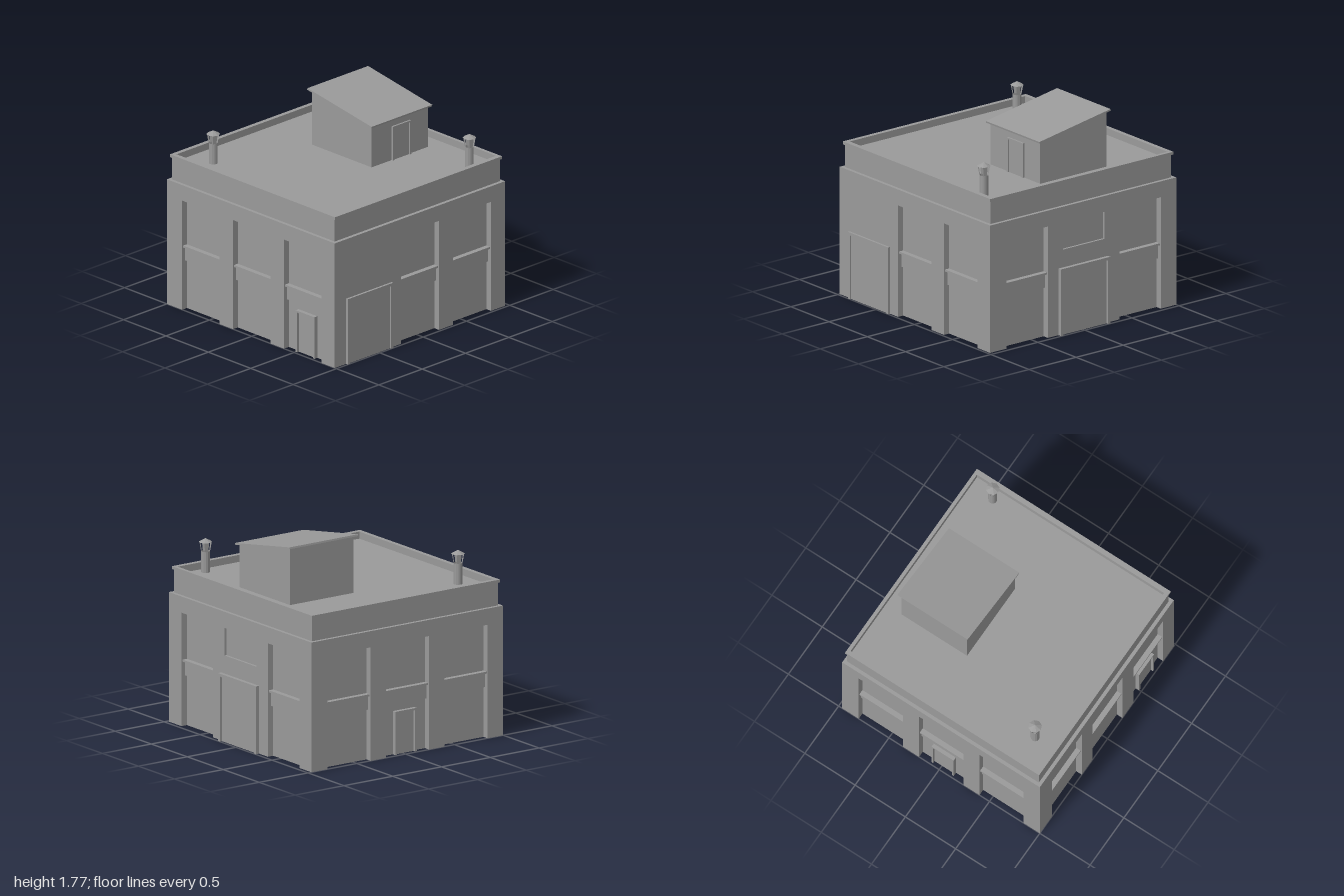
import * as THREE from 'three';

const mat = new THREE.MeshStandardMaterial({ color: 0x9a9a9a, flatShading: true, side: THREE.DoubleSide });

function add(parent, geometry, name, x = 0, y = 0, z = 0) {
  const mesh = new THREE.Mesh(geometry, mat);
  mesh.name = name;
  mesh.position.set(x, y, z);
  parent.add(mesh);
  return mesh;
}

// Box given by its lower and upper limits on each axis
function block(parent, name, x0, x1, y0, y1, z0, z1) {
  return add(parent, new THREE.BoxGeometry(x1 - x0, y1 - y0, z1 - z0), name,
    (x0 + x1) / 2, (y0 + y1) / 2, (z0 + z1) / 2);
}

// Faceted sheet through rows of points, running left to right and bottom to top
function sheet(rows) {
  const pos = [];
  for (let r = 0; r + 1 < rows.length; r++) {
    for (let i = 0; i + 1 < rows[r].length; i++) {
      const a = rows[r][i], b = rows[r][i + 1], c = rows[r + 1][i + 1], d = rows[r + 1][i];
      pos.push(...a, ...b, ...c, ...a, ...c, ...d);
    }
  }
  const g = new THREE.BufferGeometry();
  g.setAttribute('position', new THREE.Float32BufferAttribute(pos, 3));
  g.computeVertexNormals();
  return g;
}

const ring = ([x0, x1, z0, z1, y]) =>
  [[x0, y, z1], [x1, y, z1], [x1, y, z0], [x0, y, z0], [x0, y, z1]];

// Fittings reach slightly through the wall sheet (INSET), so they also show inside
const BAY_TOP = 0.97, HALF = 0.22, DEPTH = 0.055, INSET = 0.004;

// One facade in its own frame: u runs right, +z points outward, wall face at z = 0
function facade(parent, name, u0, u1, bays) {
  const g = new THREE.Group();
  g.name = name;
  parent.add(g);
  const line = [[u0, 0]];
  for (const { u, depth = DEPTH } of bays) {
    line.push([u - HALF, 0], [u - HALF, -depth], [u + HALF, -depth], [u + HALF, 0]);
    add(g, sheet([-depth, 0].map(z => [[u - HALF, BAY_TOP, z], [u + HALF, BAY_TOP, z]])), 'baySoffit');
  }
  line.push([u1, 0]);
  add(g, sheet([0, BAY_TOP].map(y => line.map(([u, z]) => [u, y, z]))), 'pieredWall');
  for (const { u, sign } of bays) {
    if (sign) {
      // Solid wall below the shallow sign recess
      block(g, 'wallBelowSign', u - HALF, u + HALF, 0, 0.735, -0.02, 0);
      continue;
    }
    block(g, 'spandrel', u - HALF, u + HALF, 0.43, 0.55, -DEPTH - INSET, -DEPTH + 0.02);
    block(g, 'windowLedge', u - HALF, u + HALF, 0.55, 0.567, -DEPTH - INSET, -DEPTH + 0.045);
  }
  return g;
}

// Framed door standing on y0, projecting from the wall at z0 to z1
function door(parent, name, u, width, y0, y1, z0, z1, frame) {
  const g = new THREE.Group();
  g.name = name;
  parent.add(g);
  const a = u - width / 2, b = u + width / 2, rear = z0 - INSET;
  block(g, 'doorJamb', a, a + frame, y0, y1 - frame, rear, z1);
  block(g, 'doorJamb', b - frame, b, y0, y1 - frame, rear, z1);
  block(g, 'doorLintel', a, b, y1 - frame, y1, rear, z1);
  block(g, 'doorLeaf', a + frame, b - frame, y0, y1 - frame, rear, z0 + (z1 - z0) * 0.4);
  return g;
}

// Prism from an outline in the x-y plane between two depths
function prism(parent, name, outline, z0, z1) {
  const shape = new THREE.Shape(outline.map(([x, y]) => new THREE.Vector2(x, y)));
  return add(parent, new THREE.ExtrudeGeometry(shape, { depth: z1 - z0, bevelEnabled: false }), name, 0, 0, z0);
}

// Roof vent: pipe, four flaring struts on alternate octagon faces and a conical cap
function vent(parent, x, z) {
  const g = new THREE.Group();
  g.name = 'roofVent';
  g.position.set(x, 0, z);
  parent.add(g);
  add(g, new THREE.CylinderGeometry(0.037, 0.037, 0.19, 12, 1, true), 'ventPipe', 0, 1.355, 0);
  for (let i = 0; i < 4; i++) {
    add(g, new THREE.CylinderGeometry(0.052, 0.037, 0.085, 1, 1, true,
      i * Math.PI / 2 + Math.PI / 4, Math.PI / 4), 'ventStrut', 0, 1.4875, 0);
  }
  add(g, new THREE.ConeGeometry(0.057, 0.032, 8), 'ventCap', 0, 1.544, 0);
}

export function createModel() {
  const model = new THREE.Group();
  model.name = 'building';

  // Front
  const front = facade(model, 'frontFacade', -1, 0.98, [{ u: -0.6 }, { u: 0 }, { u: 0.602 }]);
  front.position.z = 1;
  door(front, 'frontDoor', 0.608, 0.22, 0, 0.37, -DEPTH, -0.02, 0.017);

  // +x side, with the wide door
  const right = facade(model, 'plusXFacade', -1, 0.965, [{ u: -0.018 }, { u: 0.583 }]);
  right.rotation.y = Math.PI / 2;
  right.position.x = 0.98;
  door(right, 'wideDoor', -0.6065, 0.525, 0, 0.58, 0, 0.02, 0.025);

  // Back, with the central door and sign recess
  const back = facade(model, 'backFacade', -0.98, 1,
    [{ u: -0.585 }, { u: 0.015, depth: 0.02, sign: true }, { u: 0.615 }]);
  back.rotation.y = Math.PI;
  back.position.z = -0.965;
  door(back, 'backDoor', 0.0105, 0.525, 0, 0.58, 0, 0.033, 0.025);

  // -x side, with a small door in the middle bay
  const left = facade(model, 'minusXFacade', -0.965, 1, [{ u: -0.58 }, { u: 0.02 }, { u: 0.62 }]);
  left.rotation.y = -Math.PI / 2;
  left.position.x = -1;
  door(left, 'sideDoor', 0.02, 0.22, 0, 0.37, -DEPTH, -0.02, 0.017);

  // Upper band, set-back parapet and coping
  add(model, sheet([
    [-1, 0.98, -0.965, 1, BAY_TOP],
    [-1, 0.98, -0.965, 1, 1.108],
    [-0.97, 0.949, -0.936, 0.97, 1.108],
    [-0.97, 0.949, -0.936, 0.97, 1.305],
    [-0.983, 0.963, -0.947, 0.981, 1.305],
    [-0.983, 0.963, -0.947, 0.981, 1.33],
    [-0.945, 0.92, -0.917, 0.942, 1.33],
    [-0.945, 0.92, -0.917, 0.942, 1.27],
  ].map(ring)), 'parapet');

  // Flat roof
  const roof = new THREE.PlaneGeometry(1.865, 1.859).rotateX(-Math.PI / 2);
  add(model, roof, 'flatRoof', -0.0125, 1.27, 0.0125);

  // Rooftop hut with a sloping roof
  const hut = new THREE.Group();
  hut.name = 'rooftopHut';
  model.add(hut);
  prism(hut, 'hutWalls', [[-0.426, 1.27], [0.28, 1.27], [0.28, 1.634], [-0.426, 1.752]], -0.76, -0.11);
  prism(hut, 'hutRoof', [[-0.453, 1.757], [0.304, 1.63], [0.307, 1.645], [-0.45, 1.772]], -0.783, -0.083);
  const hutDoor = door(hut, 'hutDoor', 0.447, 0.21, 1.27, 1.57, 0, 0.016, 0.015);
  hutDoor.rotation.y = Math.PI / 2;
  hutDoor.position.x = 0.28;

  vent(model, -0.705, 0.755);
  vent(model, 0.83, -0.7);

  return model;
}
